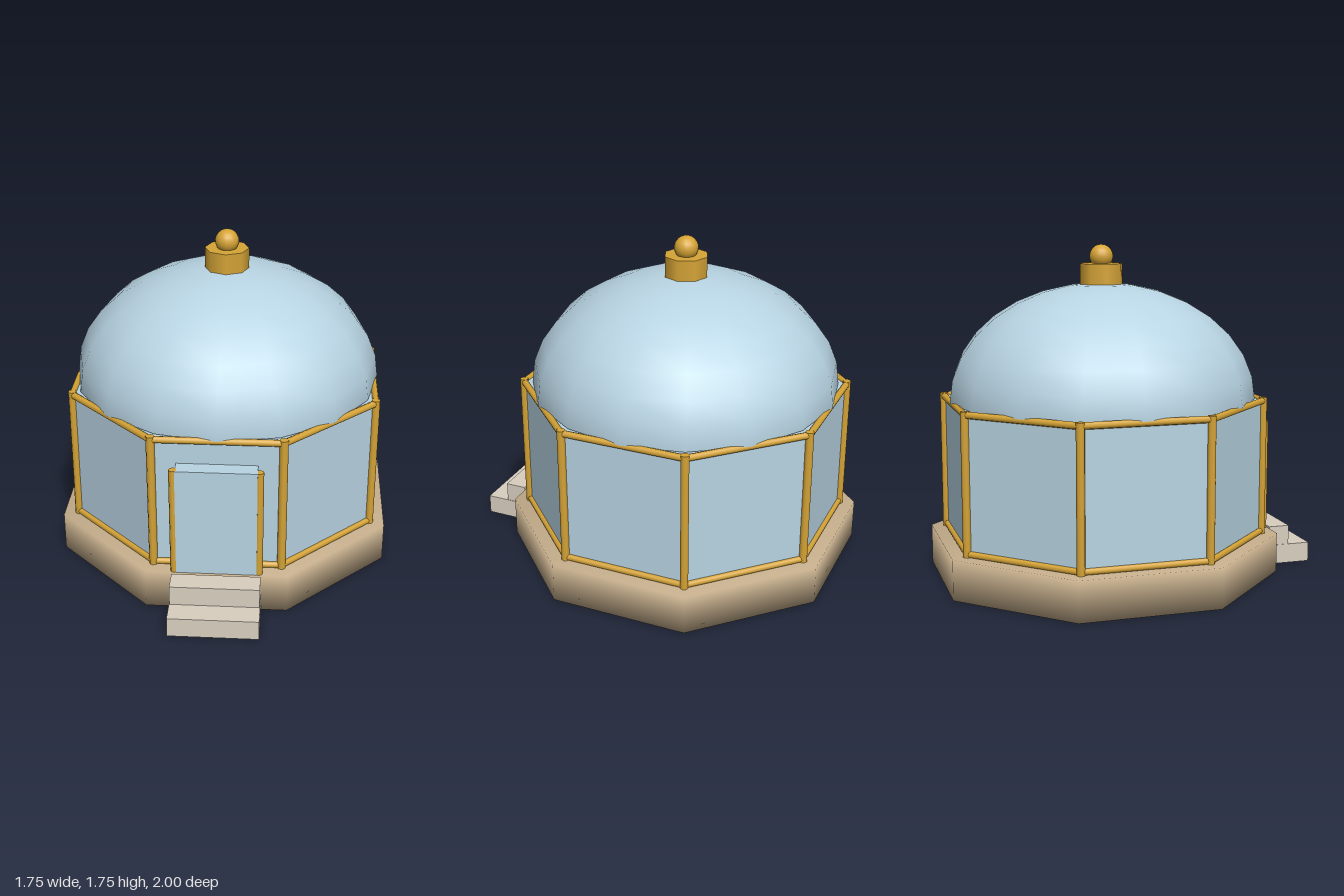
import * as THREE from 'three';
import { mergeVertices } from 'three/addons/utils/BufferGeometryUtils.js';

const paint = (name, color, side = THREE.FrontSide) => {
  const m = new THREE.MeshStandardMaterial({ color, side });
  m.name = name;
  return m;
};

// shares corner normals between caps and sides, for a soft-edged look
function soften(geometry) {
  geometry.deleteAttribute('normal');
  geometry.deleteAttribute('uv');
  const g = mergeVertices(geometry, 1e-4);
  g.computeVertexNormals();
  return g;
}

function facet(geometry) {
  const g = geometry.toNonIndexed();
  g.computeVertexNormals();
  return g;
}

export function createModel() {
  const group = new THREE.Group();
  const glass = paint('pale blue glass', 0xb8d4e3, THREE.DoubleSide);
  const gold = paint('gold', 0xd6a436);
  const stone = paint('tan stone', 0xc4ad8b);
  const stepStone = paint('light stone', 0xd9cfc0);

  const add = (parent, name, geometry, material, x = 0, y = 0, z = 0) => {
    const mesh = new THREE.Mesh(geometry, material);
    mesh.name = name;
    mesh.position.set(x, y, z);
    parent.add(mesh);
    return mesh;
  };

  // round bar between two points
  const up = new THREE.Vector3(0, 1, 0);
  const bar = (parent, name, a, b, r) => {
    const dir = b.clone().sub(a);
    const mesh = add(parent, name, new THREE.CylinderGeometry(r, r, dir.length(), 8), gold);
    mesh.position.copy(a).add(b).multiplyScalar(0.5);
    mesh.quaternion.setFromUnitVectors(up, dir.normalize());
  };

  // octagonal pavilion, set back to leave room for the steps
  const pavilion = new THREE.Group();
  pavilion.name = 'pavilion';
  pavilion.position.z = -0.125;
  group.add(pavilion);

  const octagon = (apothem, h) => {
    const r = apothem / Math.cos(Math.PI / 8);
    return new THREE.CylinderGeometry(r, r, h, 8).rotateY(Math.PI / 8);
  };
  add(pavilion, 'base', soften(octagon(0.875, 0.21)), stone, 0, 0.105);
  add(pavilion, 'glassWalls', facet(octagon(0.79, 0.725)), glass, 0, 0.5725);

  // gold frame: corner posts with rails at the foot and head of each wall
  const frame = new THREE.Group();
  frame.name = 'frame';
  pavilion.add(frame);
  const corner = (i, y) => {
    const a = Math.PI / 8 + i * Math.PI / 4;
    return new THREE.Vector3(0.86 * Math.sin(a), y, 0.86 * Math.cos(a));
  };
  for (let i = 0; i < 8; i++) {
    bar(frame, 'cornerPost', corner(i, 0.21), corner(i, 0.95), 0.022);
    bar(frame, 'lowerRail', corner(i, 0.225), corner(i + 1, 0.225), 0.017);
    bar(frame, 'upperRail', corner(i, 0.932), corner(i + 1, 0.932), 0.018);
  }

  // flattened dome and its finial
  const dome = new THREE.SphereGeometry(0.815, 16, 8, 0, Math.PI * 2, 0, Math.PI / 2);
  dome.scale(1, 0.61 / 0.815, 1);
  add(pavilion, 'dome', dome, glass, 0, 0.94);
  add(pavilion, 'finialBase', new THREE.CylinderGeometry(0.116, 0.116, 0.11, 8), gold, 0, 1.595);
  add(pavilion, 'finialBall', new THREE.SphereGeometry(0.063, 16, 12), gold, 0, 1.687);

  // entrance
  add(group, 'door', new THREE.BoxGeometry(0.41, 0.59, 0.09), glass, 0, 0.505, 0.705);
  for (const s of [-1, 1]) {
    add(group, 'doorPost', new THREE.CylinderGeometry(0.021, 0.021, 0.59, 8), gold, s * 0.215, 0.505, 0.73);
  }
  add(group, 'upperStep', new THREE.BoxGeometry(0.455, 0.105, 0.115), stepStone, 0, 0.1575, 0.8225);
  add(group, 'lowerStep', new THREE.BoxGeometry(0.46, 0.105, 0.235), stepStone, 0, 0.0525, 0.8825);

  return group;
}
